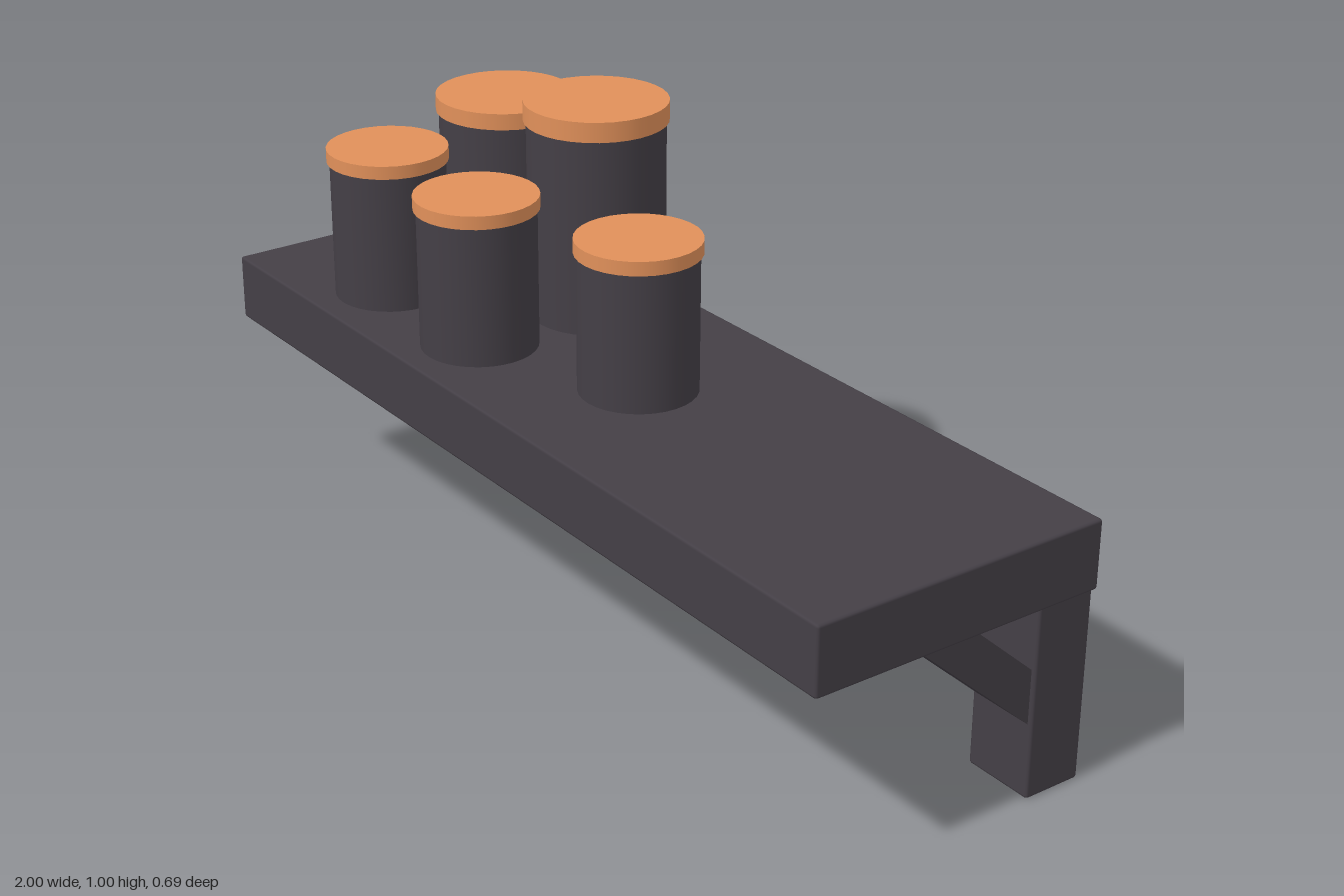
import * as THREE from 'three';
import { RoundedBoxGeometry } from 'three/addons/geometries/RoundedBoxGeometry.js';

const dark = new THREE.MeshStandardMaterial({ color: 0x443f46 });
const copper = new THREE.MeshStandardMaterial({ color: 0xe0905a });

function add(parent, name, geometry, material, x, y, z) {
  const mesh = new THREE.Mesh(geometry, material);
  mesh.name = name;
  mesh.position.set(x, y, z);
  parent.add(mesh);
  return mesh;
}

// Wall bracket: upright post with a diagonal brace under the board
function addBracket(parent, side, x) {
  const bracket = new THREE.Group();
  bracket.name = side + 'Bracket';
  bracket.position.x = x;
  parent.add(bracket);

  add(bracket, 'post', new RoundedBoxGeometry(0.155, 0.405, 0.128, 1, 0.006), dark, 0, 0.2025, -0.258);

  // Brace outline in (z, y), ends tucked into the post and the board
  const outline = new THREE.Shape([
    [-0.21, 0.142], [0.091, 0.41], [-0.037, 0.41], [-0.21, 0.256],
  ].map(([z, y]) => new THREE.Vector2(z, y)));
  const width = 0.135;
  const geometry = new THREE.ExtrudeGeometry(outline, { depth: width, bevelEnabled: false });
  geometry.rotateY(-Math.PI / 2);
  add(bracket, 'brace', geometry, dark, width / 2, 0, 0);
}

// Canister with a slightly wider lid, standing on the board
function addCanister(parent, name, { x, z, radius, lidBottom, top }) {
  const base = 0.54;
  const canister = new THREE.Group();
  canister.name = name;
  canister.position.set(x, 0, z);
  parent.add(canister);

  const height = lidBottom - base;
  add(canister, 'body', new THREE.CylinderGeometry(radius, radius, height, 32),
    dark, 0, base + height / 2, 0);
  const lidHeight = top - lidBottom;
  add(canister, 'lid', new THREE.CylinderGeometry(radius + 0.006, radius + 0.006, lidHeight, 32),
    copper, 0, lidBottom + lidHeight / 2, 0);
}

export function createModel() {
  const model = new THREE.Group();
  model.name = 'shelfWithCanisters';

  // Shelf, turned very slightly about the vertical
  const shelf = new THREE.Group();
  shelf.name = 'shelf';
  shelf.rotation.y = -0.0215;
  model.add(shelf);

  add(shelf, 'board', new RoundedBoxGeometry(1.986, 0.142, 0.65, 1, 0.006), dark, 0, 0.472, 0);
  addBracket(shelf, 'left', 0.906);
  addBracket(shelf, 'right', -0.906);

  // Canisters: two large at the back, three small in front
  const canisters = [
    { x: -0.635, z: -0.155, radius: 0.141, lidBottom: 0.89, top: 0.925 },
    { x: -0.297, z: -0.148, radius: 0.143, lidBottom: 0.96, top: 1.002 },
    { x: -0.64, z: 0.138, radius: 0.121, lidBottom: 0.837, top: 0.865 },
    { x: -0.297, z: 0.147, radius: 0.121, lidBottom: 0.837, top: 0.865 },
    { x: 0.07, z: 0.022, radius: 0.12, lidBottom: 0.83, top: 0.859 },
  ];
  canisters.forEach((spec, i) => addCanister(model, 'canister' + (i + 1), spec));

  return model;
}
